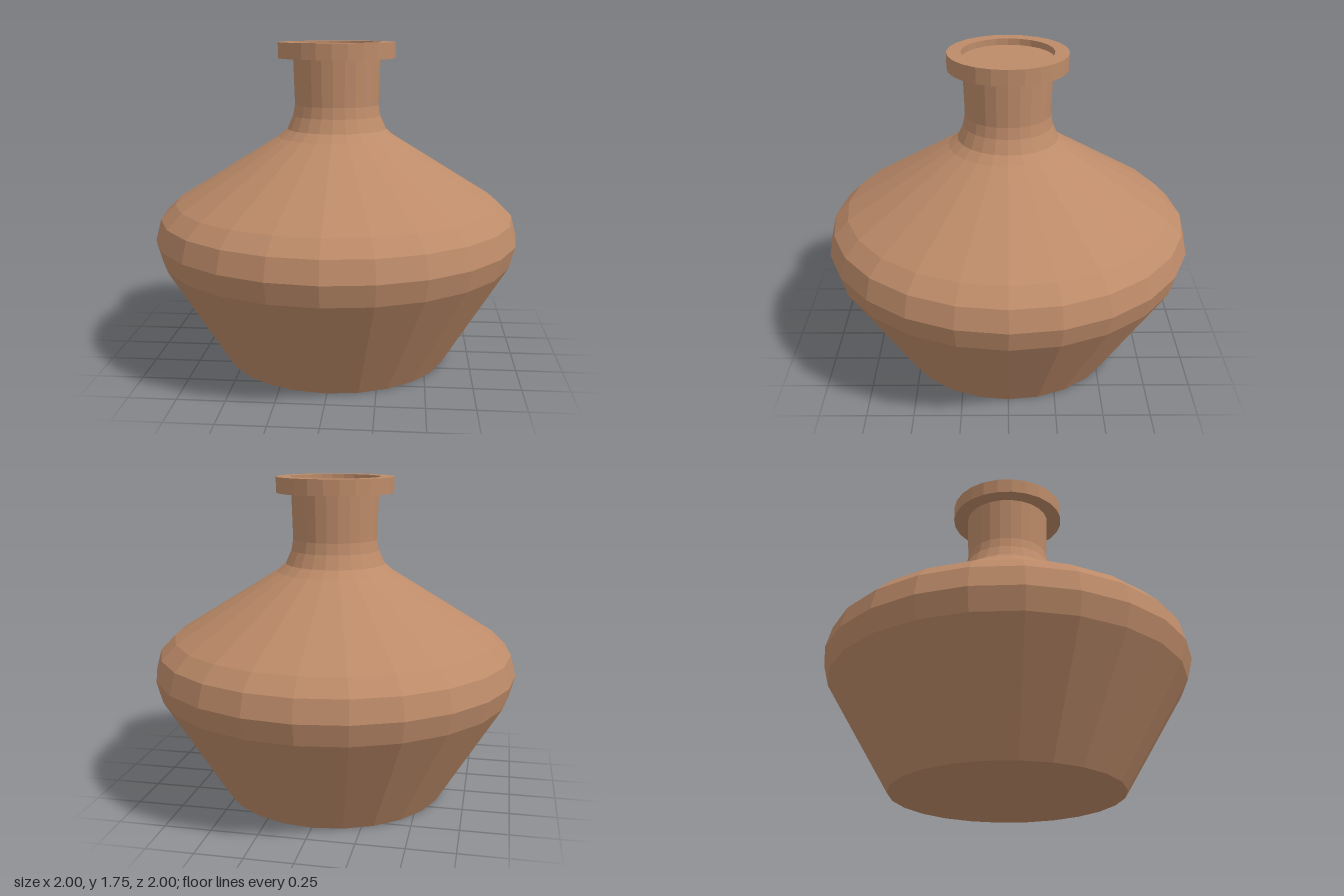
import * as THREE from 'three';

const SIDES = 24;

export function createModel() {
  const group = new THREE.Group();
  group.name = 'bottle';
  const clay = new THREE.MeshStandardMaterial({ color: 0xbd8b69, flatShading: true });

  // Turns a list of [radius, height] points around the vertical axis
  const turn = (name, profile) => {
    const points = profile.map(([r, y]) => new THREE.Vector2(r, y));
    const mesh = new THREE.Mesh(new THREE.LatheGeometry(points, SIDES), clay);
    mesh.name = name;
    group.add(mesh);
  };

  // Closed base, angular belly, sloping shoulder and flared foot of the neck
  turn('body', [
    [0, 0], [0.62, 0], [0.97, 0.58], [1, 0.695], [0.97, 0.81], [0.89, 0.89],
    [0.32, 1.245], [0.272, 1.287], [0.24, 1.36], [0.23, 1.42],
  ]);

  // Slightly widening neck
  turn('neck', [[0.23, 1.42], [0.238, 1.67]]);

  // Collar with a shallow recess
  turn('rim', [[0.238, 1.67], [0.32, 1.67], [0.32, 1.755], [0.245, 1.755], [0.245, 1.72]]);

  // Stopper closing the mouth just below the rim
  turn('stopper', [[0.245, 1.72], [0, 1.72]]);

  return group;
}
